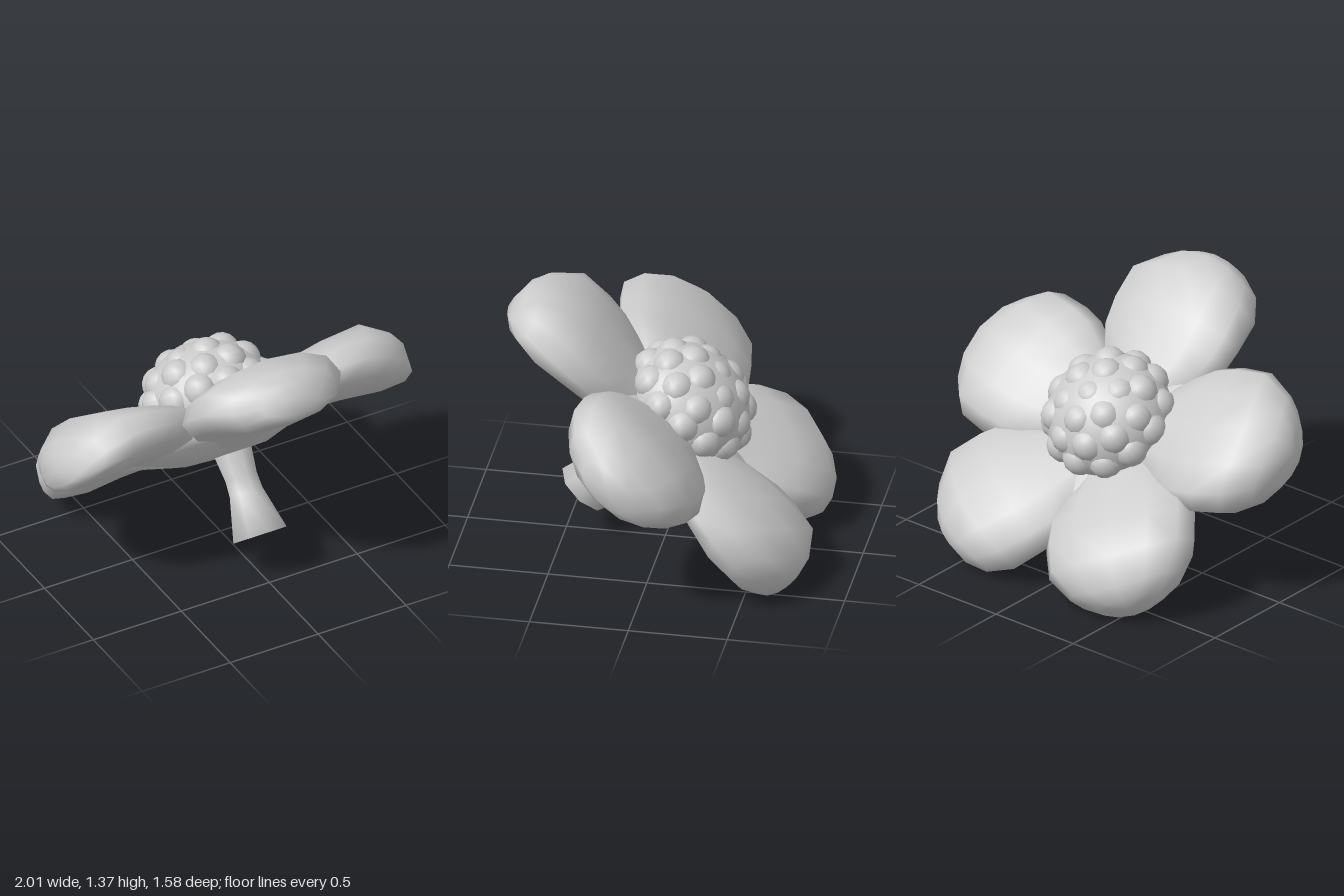
import * as THREE from 'three';

const material = new THREE.MeshStandardMaterial({ color: 0xcccccc });
const TILT = -39.5 * Math.PI / 180;

function addMesh(parent, name, geometry, x = 0, y = 0, z = 0) {
  const mesh = new THREE.Mesh(geometry, material);
  mesh.name = name;
  mesh.position.set(x, y, z);
  parent.add(mesh);
  return mesh;
}

function lathe(profile, sides) {
  return new THREE.LatheGeometry(profile.map(([r, y]) => new THREE.Vector2(r, y)), sides);
}

// Puffy petal lofted along +z through oval sections: [distance, half width, top, bottom]
function petalGeometry() {
  const sections = [
    [0.05, 0.14, 0.60, 0.35],
    [0.25, 0.25, 0.64, 0.36],
    [0.38, 0.335, 0.67, 0.395],
    [0.50, 0.39, 0.695, 0.415],
    [0.63, 0.405, 0.72, 0.41],
    [0.84, 0.395, 0.74, 0.39],
    [0.975, 0.30, 0.655, 0.40],
    [1.015, 0.17, 0.59, 0.43],
  ];
  const sides = 12, positions = [], index = [];
  for (const [s, w, top, bottom] of sections) {
    for (let j = 0; j < sides; j++) {
      const a = j / sides * Math.PI * 2;
      const x = w * Math.cos(a);
      const rise = Math.sign(Math.sin(a)) * Math.abs(Math.sin(a)) ** 0.85;
      const y = (top + bottom) / 2 + (top - bottom) / 2 * rise;
      positions.push(x, y, s - 0.9 * x * x * s ** 4); // rounded outer edge
    }
  }
  for (let i = 0; i < sections.length - 1; i++) {
    for (let j = 0; j < sides; j++) {
      const k = (j + 1) % sides;
      const a = i * sides + j, b = i * sides + k;
      index.push(a, b, a + sides, b, b + sides, a + sides);
    }
  }
  // Close the tip
  const last = (sections.length - 1) * sides, tip = sections.length * sides;
  positions.push(0, 0.51, 1.025);
  for (let j = 0; j < sides; j++) index.push(last + j, last + (j + 1) % sides, tip);

  const geometry = new THREE.BufferGeometry();
  geometry.setAttribute('position', new THREE.Float32BufferAttribute(positions, 3));
  geometry.setIndex(index);
  geometry.computeVertexNormals();
  return geometry;
}

export function createModel() {
  const model = new THREE.Group();
  model.name = 'flower';
  const tilted = new THREE.Group();
  tilted.name = 'tiltedFlower';
  tilted.rotation.x = TILT;
  model.add(tilted);

  const bloom = new THREE.Group();
  bloom.name = 'bloom';
  bloom.position.z = 0.37;
  tilted.add(bloom);

  // Five petals: [angle, lift] for the front, the two sides and the two back ones
  const petal = petalGeometry();
  for (const [degrees, lift] of [[0, 0], [78, 0.02], [145, -0.01], [-145, -0.01], [-78, 0.02]]) {
    addMesh(bloom, 'petal', petal, 0, lift, 0).rotation.y = THREE.MathUtils.degToRad(degrees);
  }

  // Shallow cup joining the petals underneath and filling the gaps between them
  const cup = lathe([[0, 0.345], [0.21, 0.35], [0.47, 0.435], [0.47, 0.52], [0.41, 0.6], [0, 0.64]], 20);
  addMesh(bloom, 'petalBase', cup);

  // Domed centre covered in rings of soft, slightly uneven bumps
  const centre = new THREE.Group();
  centre.name = 'flowerCentre';
  centre.position.z = 0.02;
  bloom.add(centre);
  const core = new THREE.SphereGeometry(0.325, 24, 16);
  core.scale(1, 0.82, 1);
  addMesh(centre, 'centreDome', core, 0, 0.67, 0);
  const bump = new THREE.SphereGeometry(0.09, 12, 8);
  const rings = [[0.268, 0.685, 12], [0.222, 0.78, 10], [0.13, 0.842, 6], [0, 0.86, 1]];
  rings.forEach(([radius, y, count], ring) => {
    for (let i = 0; i < count; i++) {
      const a = (i + ring * 0.5) / count * Math.PI * 2;
      const wobble = 0.008 * Math.sin(i * 2.4 + ring);
      addMesh(centre, 'centreBump', bump, radius * Math.sin(a), y + wobble, radius * Math.cos(a));
    }
  });

  // Flared stem
  const stem = lathe([[0, -0.084], [0.15, -0.084], [0.092, 0.14], [0.088, 0.22], [0.105, 0.36]], 8);
  addMesh(tilted, 'stem', stem, 0, 0, 0.456);

  return model;
}
